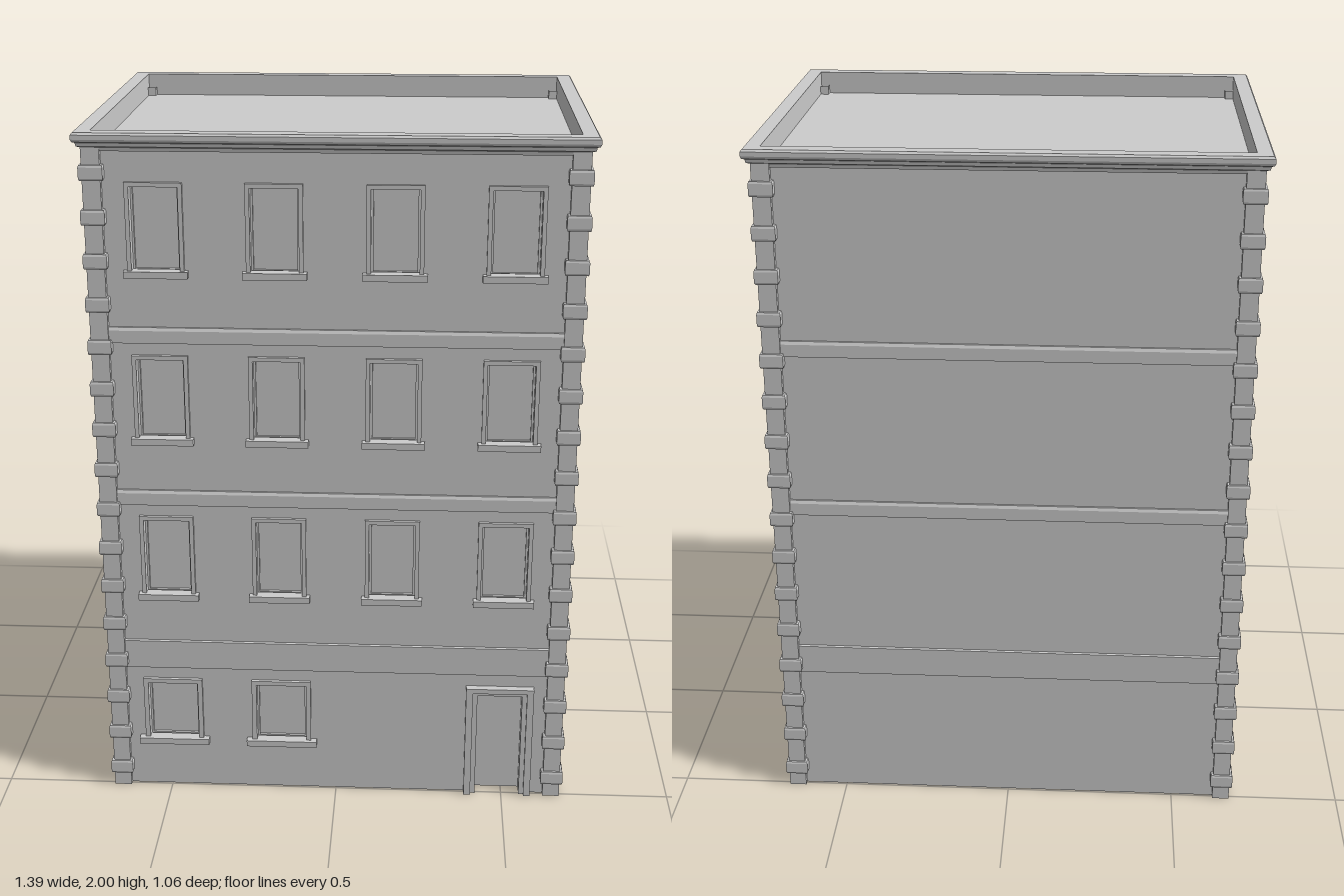
import * as THREE from 'three';

const HX = 0.66, HZ = 0.495, WALL_TOP = 1.96;

export function createModel() {
  const model = new THREE.Group();
  const mat = new THREE.MeshStandardMaterial({ color: 0xcccccc, flatShading: true, side: THREE.DoubleSide });

  function add(name, geometry, x = 0, y = 0, z = 0, parent = model) {
    const mesh = new THREE.Mesh(geometry, mat);
    mesh.name = name;
    mesh.position.set(x, y, z);
    parent.add(mesh);
    return mesh;
  }

  // Sweep a profile of [offset from wall, height] around the rectangular plan
  function ring(profile, sides = 4) {
    const signs = [[-1, 1], [1, 1], [1, -1], [-1, -1], [-1, 1]];
    const first = 4 - sides;
    const pos = [];
    const point = (s, [o, y]) => [s[0] * (HX + o), y, s[1] * (HZ + o)];
    for (let i = 0; i < profile.length - 1; i++) {
      for (let k = first; k < 4; k++) {
        const a = point(signs[k], profile[i]), b = point(signs[k + 1], profile[i]);
        const c = point(signs[k + 1], profile[i + 1]), d = point(signs[k], profile[i + 1]);
        pos.push(...a, ...b, ...c, ...a, ...c, ...d);
      }
    }
    const g = new THREE.BufferGeometry();
    g.setAttribute('position', new THREE.Float32BufferAttribute(pos, 3));
    g.computeVertexNormals();
    return g;
  }

  const polygon = (pts, Type = THREE.Shape) => new Type(pts.map(p => new THREE.Vector2(...p)));
  const rect = (hw, y0, y1, cx = 0) => [[cx - hw, y0], [cx + hw, y0], [cx + hw, y1], [cx - hw, y1]];
  const extrude = (shape, depth) => new THREE.ExtrudeGeometry(shape, { depth, bevelEnabled: false });

  // Window layout
  const columns = [-0.487, -0.163, 0.163, 0.487];
  const windows = [];
  for (const y of [0.63, 1.116, 1.602]) {
    for (const x of columns) windows.push({ x, y, hw: 0.066, height: 0.25, border: 0.012, sill: 0.088 });
  }
  for (const x of columns.slice(0, 2)) {
    windows.push({ x, y: 0.148, hw: 0.074, height: 0.202, border: 0.014, sill: 0.105 });
  }
  const door = { x: 0.487, hw: 0.066, top: 0.335 };

  // Front wall with window holes and a door notch
  const front = polygon([
    [-HX, 0], [door.x - door.hw, 0], [door.x - door.hw, door.top],
    [door.x + door.hw, door.top], [door.x + door.hw, 0], [HX, 0], [HX, WALL_TOP], [-HX, WALL_TOP],
  ]);
  for (const w of windows) {
    front.holes.push(polygon(rect(w.hw, w.y + 0.012, w.y + w.height, w.x), THREE.Path));
  }
  add('frontWall', new THREE.ShapeGeometry(front), 0, 0, HZ);

  // Side and back walls, open at the bottom
  add('sideAndBackWalls', ring([[0, 0], [0, WALL_TOP]], 3));

  // Windows: deep frame, raised trim, recessed pane and sill
  for (const w of windows) {
    const g = new THREE.Group();
    g.name = 'window';
    g.position.set(w.x, w.y, HZ);
    model.add(g);
    const frame = polygon(rect(w.hw + w.border, 0.01, w.height + w.border));
    frame.holes.push(polygon(rect(w.hw, 0.012, w.height), THREE.Path));
    add('windowFrame', extrude(frame, 0.042), 0, 0, -0.032, g);
    const sash = polygon(rect(w.hw, 0.012, w.height));
    sash.holes.push(polygon(rect(w.hw - 0.006, 0.018, w.height - 0.006), THREE.Path));
    add('windowSash', extrude(sash, 0.01), 0, 0, -0.03, g);
    add('windowPane', new THREE.PlaneGeometry(w.hw * 2, w.height - 0.012), 0, w.height / 2 + 0.006, -0.028, g);
    add('windowSill', new THREE.BoxGeometry(w.sill * 2, 0.019, 0.034), 0, 0.0095, 0.005, g);
  }

  // Door: stepped surround and recessed leaf
  const arch = (outer, outerTop, inner, innerTop) => polygon([
    [-outer, 0], [-inner, 0], [-inner, innerTop], [inner, innerTop],
    [inner, 0], [outer, 0], [outer, outerTop], [-outer, outerTop],
  ]);
  const doorGroup = new THREE.Group();
  doorGroup.name = 'door';
  doorGroup.position.set(door.x, 0, HZ);
  model.add(doorGroup);
  add('doorOuterSurround', extrude(arch(0.1, 0.362, 0.08, 0.347), 0.022), 0, 0, 0, doorGroup);
  add('doorInnerSurround', extrude(arch(0.081, 0.348, door.hw, door.top), 0.044), 0, 0, -0.032, doorGroup);
  add('doorLeaf', new THREE.PlaneGeometry(door.hw * 2, door.top), 0, door.top / 2, -0.03, doorGroup);

  // Horizontal bands between the storeys
  add('baseBand', ring([[0, 0.398], [0.005, 0.4], [0.005, 0.488], [0, 0.491]]));
  for (const y of [0.928, 1.414]) {
    add('storeyBand', ring([[0, y], [0.01, y], [0.01, y + 0.036], [0.006, y + 0.045], [0, y + 0.045]]));
  }

  // Corner columns with chamfered quoin blocks, one square lathe per corner
  const post = 0.025, block = 0.033;
  const outline = [[0, 0], [post, 0]];
  for (let i = 0; i < 16; i++) {
    const y = 0.065 + i * 0.1217;
    outline.push([post, y - 0.021], [block - 0.002, y - 0.021], [block, y - 0.015],
      [block, y + 0.015], [block - 0.002, y + 0.021], [post, y + 0.021]);
  }
  outline.push([post, WALL_TOP]);
  const column = new THREE.LatheGeometry(
    outline.map(([r, y]) => new THREE.Vector2(r * Math.SQRT2, y)), 4, Math.PI / 4);
  for (const sx of [-1, 1]) {
    for (const sz of [-1, 1]) add('quoinColumn', column, sx * 0.65, 0, sz * 0.486);
  }

  // Stepped cornice and parapet, with the sunken roof inside
  const roofY = 1.935;
  add('cornice', ring([
    [0, 1.948], [0.012, 1.948], [0.014, 1.958], [0.024, 1.962], [0.026, 1.972],
    [0.033, 1.975], [0.036, 1.982], [0.036, 1.994], [0.031, 2], [-0.01, 2], [-0.01, roofY],
  ]));
  const roof = new THREE.PlaneGeometry(2 * (HX - 0.01), 2 * (HZ - 0.01)).rotateX(-Math.PI / 2);
  add('roof', roof, 0, roofY, 0);

  return model;
}
